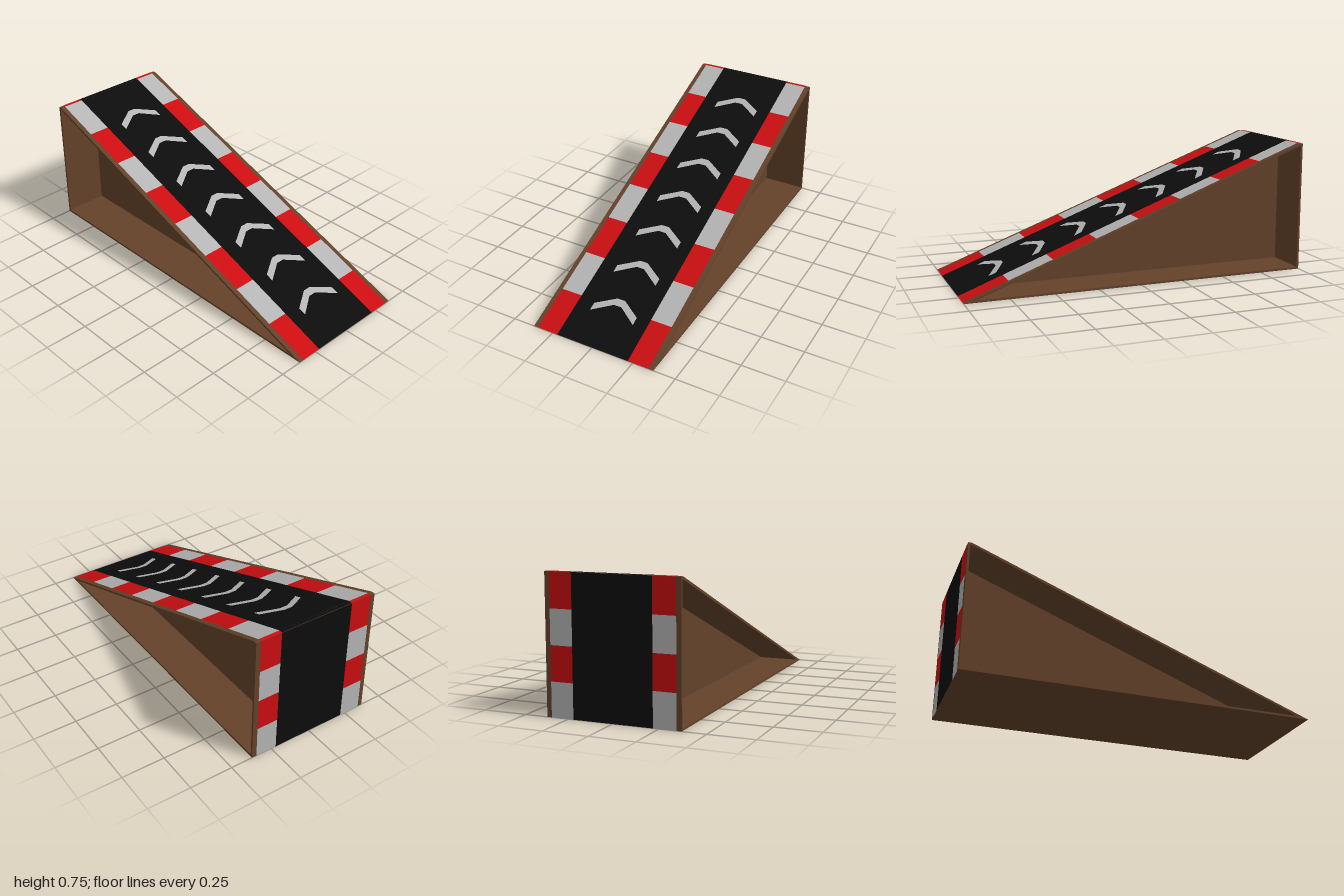
import * as THREE from 'three';

const H = 0.745, HALF = 0.372, WALL = 0.12, T = 0.012;
const V = (x, y) => new THREE.Vector2(x, y);
const mat = (color) => new THREE.MeshStandardMaterial({ color });

export function createModel() {
  const group = new THREE.Group();
  const brown = mat(0x64422a), red = mat(0xcc0e11), grey = mat(0xb6b6b6), black = mat(0x0d0d0d);

  const add = (name, geo, material, parent = group) => {
    const mesh = new THREE.Mesh(geo, material);
    mesh.name = name;
    parent.add(mesh);
    return mesh;
  };
  const slab = (shape, half) =>
    new THREE.ExtrudeGeometry(shape, { depth: half * 2, bevelEnabled: false }).translate(0, 0, -half);

  // Side profile: upright back, narrow crest, long slope
  const foot = V(-1, 0), top = V(-1, H), crest = V(-0.98, H), toe = V(1, 0);
  const grade = H / (toe.x - crest.x);
  const drop = T * Math.hypot(1, grade);
  const slopeY = (x) => (1 - x) * grade - drop;
  const inner = [
    V(-1 + T, T),
    V(1 - (T + drop) / grade, T),
    V(-1 + T, Math.min(slopeY(-1 + T), H - T)),
  ];

  // Hollow wedge shell, and the recessed web that closes it on both sides
  const frame = new THREE.Shape([foot, toe, crest, top]);
  frame.holes.push(new THREE.Path(inner));
  add('wedgeFrame', slab(frame, HALF), brown);
  add('recessedSideWalls', slab(new THREE.Shape(inner), WALL), brown);

  // A group lying on one outer face: local x runs from p to q, local y is -z
  const surface = (name, p, q) => {
    const g = new THREE.Group();
    g.name = name;
    const d = q.clone().sub(p).normalize();
    const along = new THREE.Vector3(d.x, d.y, 0);
    const out = new THREE.Vector3(-d.y, d.x, 0);
    g.matrix.makeBasis(along, out.clone().cross(along), out).setPosition(p.x, p.y, 0);
    g.matrix.decompose(g.position, g.quaternion, g.scale);
    group.add(g);
    return g;
  };
  const patch = (name, parent, s0, s1, z0, z1, material) => {
    const geo = new THREE.PlaneGeometry(s1 - s0, z1 - z0);
    geo.translate((s0 + s1) / 2, (z0 + z1) / 2, 0.0015);
    add(name, geo, material, parent);
  };

  // Black roadway with striped kerbs on back, crest and slope
  const paint = (name, p, q, count, firstRed) => {
    const g = surface(name, p, q);
    const len = p.distanceTo(q), step = len / count;
    patch('roadway', g, 0, len, -0.22, 0.22, black);
    for (let i = 0; i < count; i++) {
      const m = (i % 2 === 0) === firstRed ? red : grey;
      patch('kerbStripe', g, i * step, (i + 1) * step, 0.22, 0.345, m);
      patch('kerbStripe', g, i * step, (i + 1) * step, -0.345, -0.22, m);
    }
    return g;
  };
  paint('backFace', foot, top, 4, false);
  paint('crestFace', top, crest, 1, true);
  const slope = paint('slopeFace', crest, toe, 8, false);

  // Seven uphill arrows along the slope
  const scale = crest.distanceTo(toe) / (toe.x - crest.x);
  const arrow = [
    [-0.716, -0.128], [-0.672, -0.128], [-0.742, -0.017], [-0.742, 0.03],
    [-0.672, 0.142], [-0.716, 0.142], [-0.783, 0.03], [-0.783, -0.017],
  ].map(([x, y]) => V((x - crest.x) * scale, y));
  const arrowGeo = new THREE.ShapeGeometry(new THREE.Shape(arrow));
  for (let i = 0; i < 7; i++) {
    add('arrow', arrowGeo, grey, slope).position.set(i * 0.2475 * scale, 0, 0.003);
  }
  return group;
}
